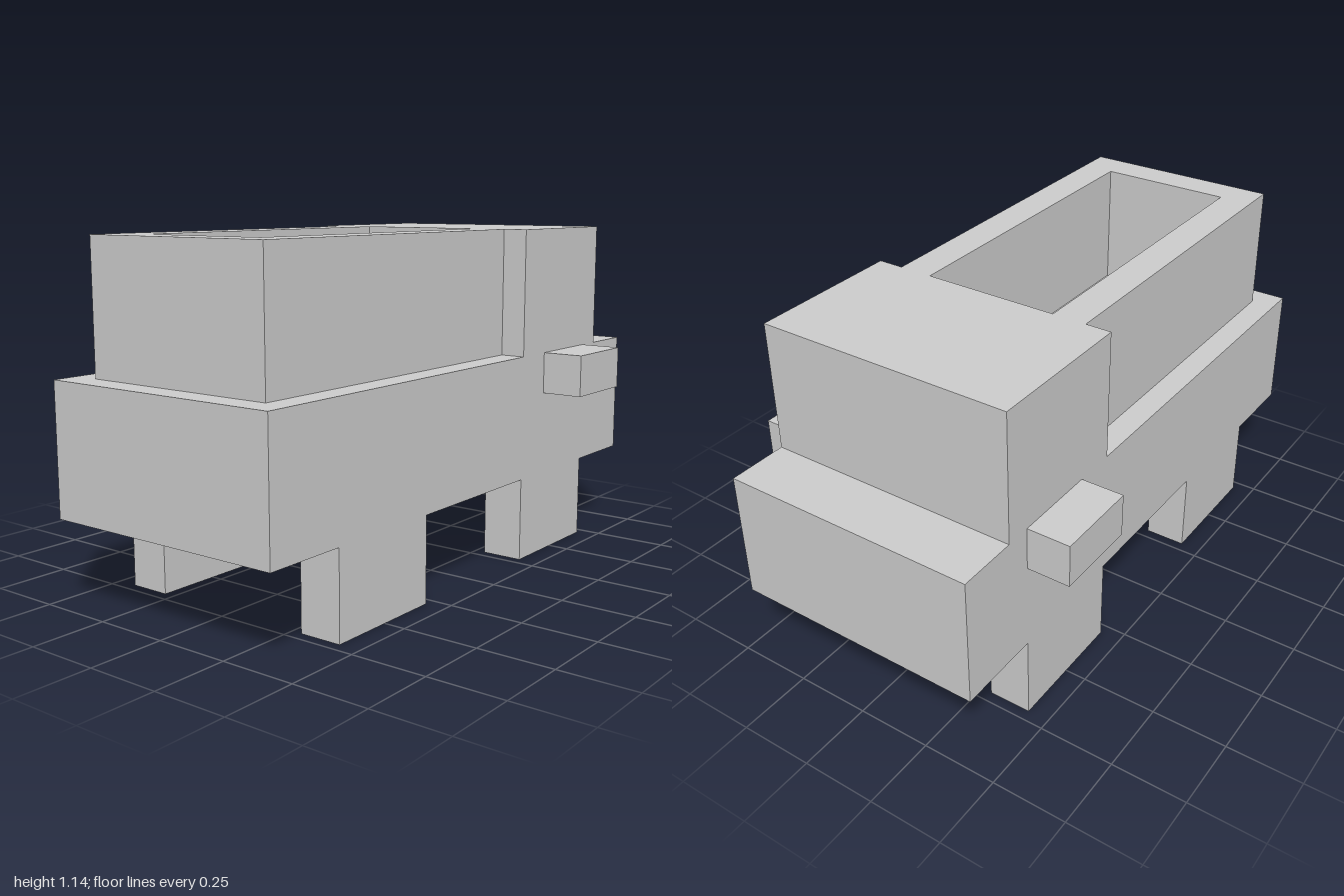
import * as THREE from 'three';

const material = new THREE.MeshStandardMaterial({ color: 0xcccccc, flatShading: true });

// Box given by its lower and upper corners
function block(name, [x0, y0, z0], [x1, y1, z1]) {
  const mesh = new THREE.Mesh(new THREE.BoxGeometry(x1 - x0, y1 - y0, z1 - z0), material);
  mesh.position.set((x0 + x1) / 2, (y0 + y1) / 2, (z0 + z1) / 2);
  mesh.name = name;
  return mesh;
}

export function createModel() {
  const model = new THREE.Group();
  model.name = 'truck';

  const u = 1 / 7; // basic module of all proportions
  const W = 3 * u, floor = 5 * u, top = 8 * u, cabBack = 2 * u;

  // Chassis and cab share the same side planes
  model.add(block('chassis', [-1, 2 * u, -W], [1, floor, W]));
  model.add(block('cab', [cabBack, floor, -W], [0.8, top, W]));

  // Open cargo bed: U-shaped wall closed by the back of the cab
  const bedWall = new THREE.Shape([
    [cabBack, -0.343], [cabBack, -0.229], [-0.8, -0.229], [-0.8, 0.229],
    [cabBack, 0.229], [cabBack, 0.343], [-0.914, 0.343], [-0.914, -0.343],
  ].map(([x, z]) => new THREE.Vector2(x, z)));
  const bedGeometry = new THREE.ExtrudeGeometry(bedWall, { depth: top - floor, bevelEnabled: false });
  bedGeometry.rotateX(-Math.PI / 2);
  const bed = new THREE.Mesh(bedGeometry, material);
  bed.position.y = floor;
  bed.name = 'cargoBed';
  model.add(bed);

  // Wheels and side mirrors on both sides
  for (const [side, s] of [['Right', 1], ['Left', -1]]) {
    const span = (a, b) => (s > 0 ? [a, b] : [-b, -a]);
    const [w0, w1] = span(2 * u, W);
    for (const [end, x] of [['front', 2 * u], ['rear', -5 * u]]) {
      model.add(block(`${end}${side}Wheel`, [x, 0, w0], [x + 3 * u, 2 * u, w1]));
    }
    const [m0, m1] = span(W, 4 * u);
    model.add(block(`mirror${side}`, [3 * u, 4 * u, m0], [5 * u, floor, m1]));
  }
  return model;
}
